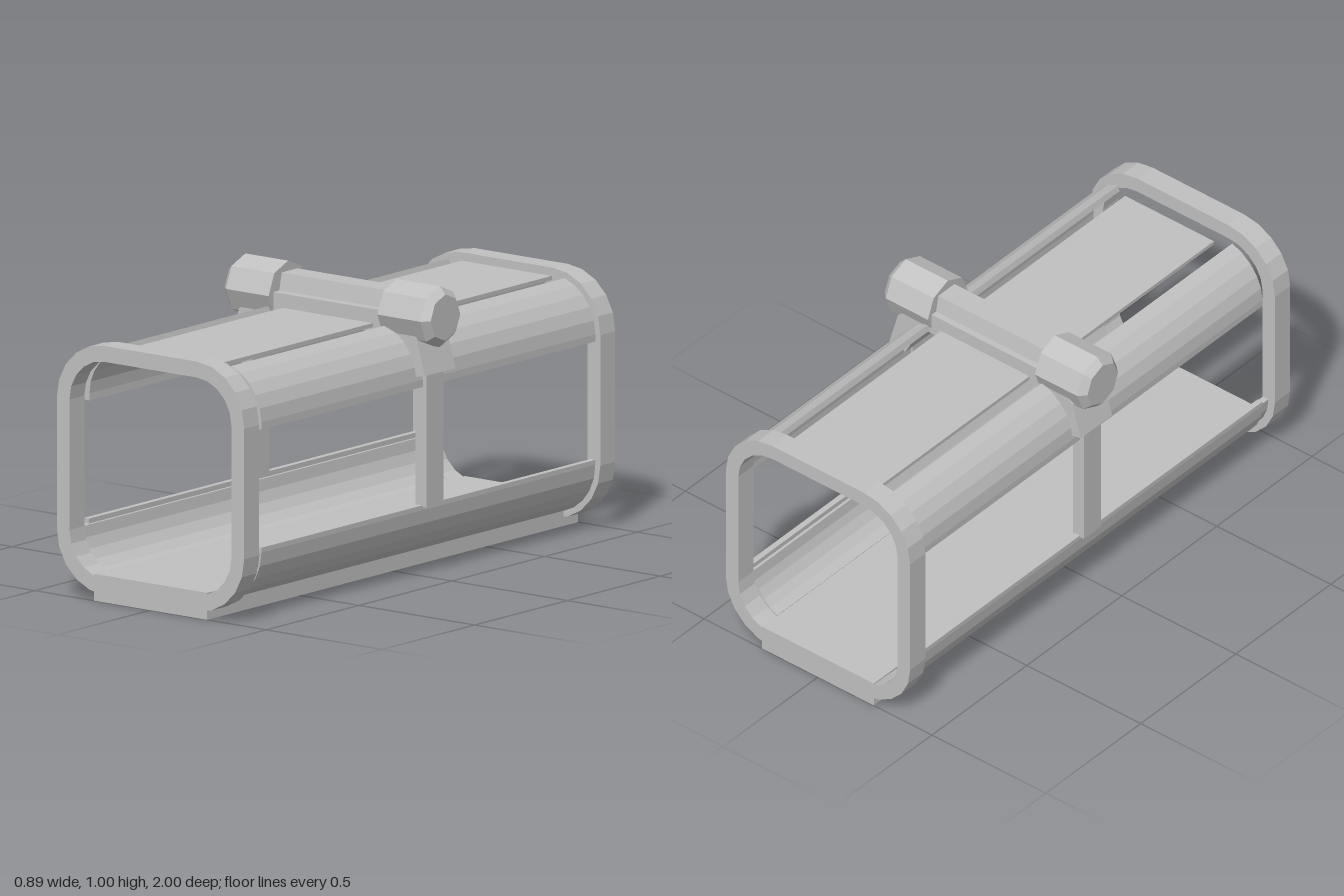
import * as THREE from 'three';

const metal = new THREE.MeshStandardMaterial({ color: 0xc0c0c0, flatShading: true });
metal.name = 'plain grey';

const CX = 0.2, TOP = 0.68, BOTTOM = 0.23; // centres of the rounded corners
const deg = Math.PI / 180;

// Points along a corner arc, angles in degrees
function arc(cx, cy, r, from, to, steps = 5) {
  return Array.from({ length: steps + 1 }, (_, i) => {
    const a = (from + ((to - from) * i) / steps) * deg;
    return [cx + r * Math.cos(a), cy + r * Math.sin(a)];
  });
}

function rounded(r) {
  return [
    ...arc(CX, TOP, r, 0, 90), ...arc(-CX, TOP, r, 90, 180),
    ...arc(-CX, BOTTOM, r, 180, 270), ...arc(CX, BOTTOM, r, 270, 360),
  ];
}

const vectors = (points) => points.map(([x, y]) => new THREE.Vector2(x, y));
const flip = (points, side) => points.map(([x, y]) => [x * side, y]);

export function createModel() {
  const model = new THREE.Group();
  model.name = 'tubularCage';

  function add(name, geometry) {
    const mesh = new THREE.Mesh(geometry, metal);
    mesh.name = name;
    model.add(mesh);
    return mesh;
  }

  // Box given by its limits
  function box(name, x0, x1, y0, y1, z0, z1) {
    add(name, new THREE.BoxGeometry(x1 - x0, y1 - y0, z1 - z0))
      .position.set((x0 + x1) / 2, (y0 + y1) / 2, (z0 + z1) / 2);
  }

  // Profile in x and y, carried from z0 to z1
  function prism(name, points, z0, z1, hole) {
    const shape = new THREE.Shape(vectors(points));
    if (hole) shape.holes.push(new THREE.Path(vectors(hole)));
    const geometry = new THREE.ExtrudeGeometry(shape, { depth: z1 - z0, bevelEnabled: false });
    add(name, geometry.translate(0, 0, z0));
  }

  // End frames
  prism('frontFrame', rounded(0.205), 0.92, 1, rounded(0.15));
  prism('backFrame', rounded(0.205), -1, -0.92, rounded(0.15));

  // Floor and roof
  box('floor', -0.245, 0.245, 0, 0.093, -1, 1);
  box('roofPanel', -0.195, 0.195, 0.842, 0.856, -0.92, 0.85);

  // Curved rails, posts and clamp knobs on both sides
  const upperRail = [
    [CX + 0.183, 0.655], ...arc(CX, TOP, 0.183, 0, 74),
    ...arc(CX, TOP, 0.16, 74, 0), [CX + 0.16, 0.655],
  ];
  const lowerRail = [
    [CX + 0.183, 0.247], ...arc(CX, BOTTOM, 0.183, 0, -76),
    ...arc(CX, BOTTOM, 0.162, -76, 0), [CX + 0.162, 0.247],
  ];
  const lowerCore = [...arc(CX, BOTTOM, 0.176, 0, -76), ...arc(CX, BOTTOM, 0.152, -76, 0)];
  const knobProfile = vectors([[0, 0], [0.105, 0], [0.105, 0.185], [0.08, 0.21], [0, 0.21]]);

  for (const side of [1, -1]) {
    const word = side > 0 ? 'left' : 'right';
    prism(word + 'UpperRail', flip(upperRail, side), -0.92, 0.88);
    prism(word + 'LowerRail', flip(lowerRail, side), -0.92, 0.88);
    prism(word + 'LowerRailCore', flip(lowerCore, side), -0.92, 0.92);
    const [x0, x1] = side > 0 ? [0.352, 0.4] : [-0.4, -0.352];
    box(word + 'Post', x0, x1, 0.24, 0.7, -0.08, 0.01);

    const knob = add(word + 'Knob', new THREE.LatheGeometry(knobProfile, 8));
    knob.rotation.z = (-side * Math.PI) / 2;
    knob.position.set(side * 0.235, 0.895, -0.035);
  }

  // Thin lip inside one lower rail
  prism('railLip', [...arc(CX, BOTTOM, 0.153, -72, -28, 3), ...arc(CX, BOTTOM, 0.142, -28, -72, 3)], -0.92, 0.92);

  // Saddle that grips the upper rails and carries the bar
  const half = [[0.28, 0.826], [0.35, 0.69], [0.42, 0.703], [0.383, 0.83], [0.3, 0.905]];
  prism('saddle', [...half, ...flip(half, -1).reverse()], -0.12, 0.045);

  // Tapered bar between the knobs
  const bar = new THREE.Shape(vectors([[-0.015, 0.89], [0.1, 0.89], [0.085, 0.965], [0, 0.965]]));
  const barMesh = add('crossBar', new THREE.ExtrudeGeometry(bar, { depth: 0.48, bevelEnabled: false }));
  barMesh.rotation.y = Math.PI / 2;
  barMesh.position.x = -0.24;

  return model;
}
